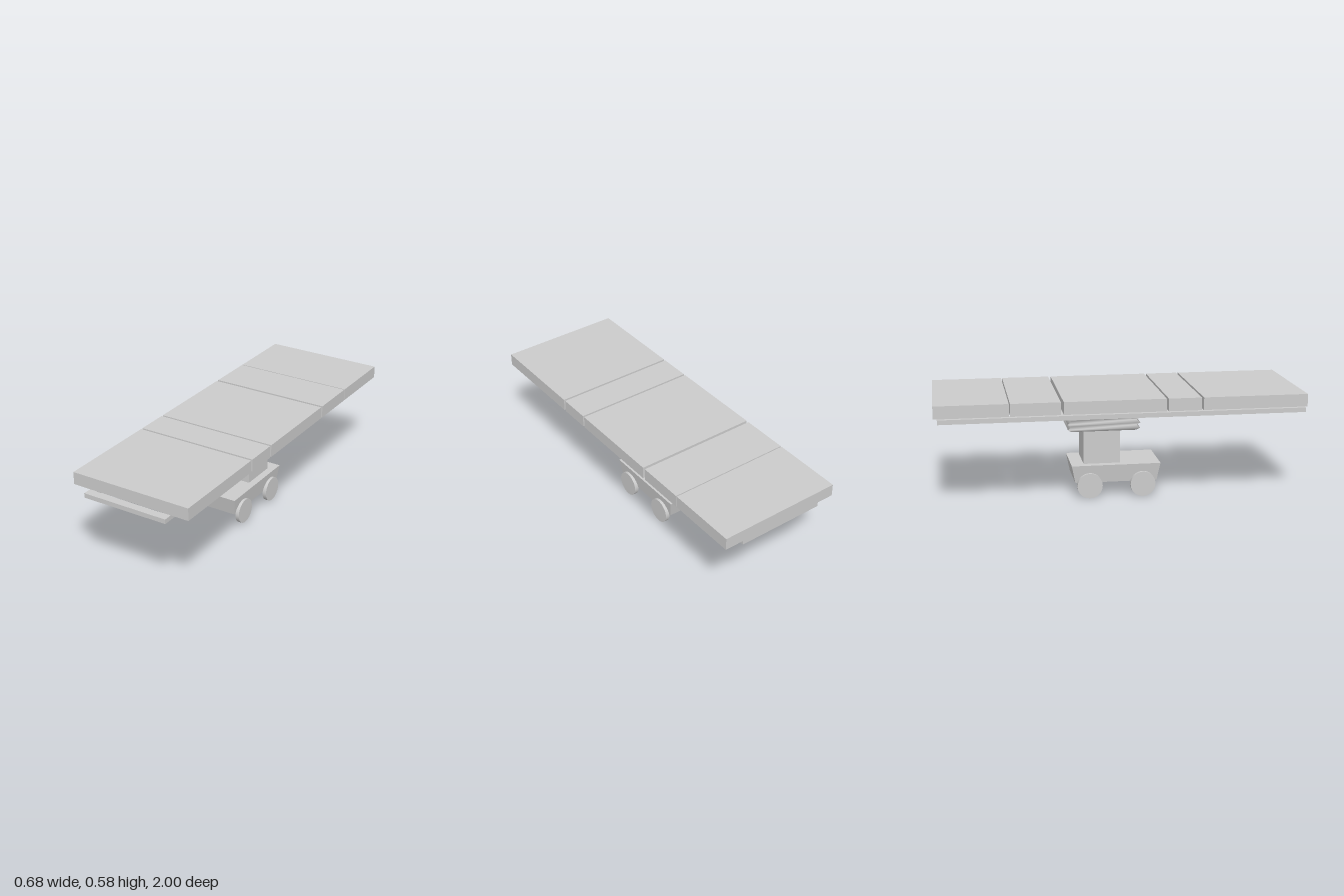
import * as THREE from 'three';

const material = new THREE.MeshStandardMaterial({ color: 0xcccccc });

export function createModel() {
  const model = new THREE.Group();
  model.name = 'operatingTable';

  const add = (name, geometry, x = 0, y = 0, z = 0) => {
    const mesh = new THREE.Mesh(geometry, material);
    mesh.name = name;
    mesh.position.set(x, y, z);
    model.add(mesh);
    return mesh;
  };

  // Box given by its limits on each axis
  const block = (name, [x0, x1], [y0, y1], [z0, z1]) =>
    add(name, new THREE.BoxGeometry(x1 - x0, y1 - y0, z1 - z0),
      (x0 + x1) / 2, (y0 + y1) / 2, (z0 + z1) / 2);

  // Mattress sections
  const sections = {
    legCushion: [0.417, 0.985],
    kneeCushion: [0.228, 0.405],
    seatCushion: [-0.327, 0.217],
    backCushion: [-0.605, -0.342],
    headCushion: [-1, -0.611],
  };
  for (const [name, z] of Object.entries(sections)) {
    block(name, [-0.342, 0.342], [0.512, 0.58], z);
  }

  // Flat support frame with a window near each end (shape y becomes -z)
  const rectangle = (path, x0, x1, z0, z1) => {
    path.moveTo(x0, -z1);
    path.lineTo(x1, -z1);
    path.lineTo(x1, -z0);
    path.lineTo(x0, -z0);
    path.closePath();
    return path;
  };
  const outline = rectangle(new THREE.Shape(), -0.269, 0.218, -0.98, 1);
  for (const [z0, z1] of [[0.63, 0.955], [-0.905, -0.57]]) {
    outline.holes.push(rectangle(new THREE.Path(), -0.225, 0.17, z0, z1));
  }
  const frame = new THREE.ExtrudeGeometry(outline, { depth: 0.025, bevelEnabled: false });
  frame.rotateX(-Math.PI / 2);
  add('supportFrame', frame, 0, 0.464, 0);

  // Square bellows: each row of a box is set to a [half width, height] pair
  const folds = [
    [0.170, 0.382], [0.188, 0.397], [0.171, 0.411], [0.189, 0.426],
    [0.171, 0.441], [0.191, 0.456], [0.182, 0.464],
  ];
  const rows = folds.length - 1;
  const bellows = new THREE.BoxGeometry(2, rows, 2, 1, rows, 1);
  const points = bellows.attributes.position;
  for (let i = 0; i < points.count; i++) {
    const [half, y] = folds[Math.round(points.getY(i) + rows / 2)];
    points.setXYZ(i, points.getX(i) * half, y, points.getZ(i) * (half + 0.007));
  }
  bellows.computeVertexNormals();
  add('bellows', bellows, -0.026, 0, -0.097);

  // Lifting column
  block('column', [-0.125, 0.079], [0.183, 0.383], [-0.198, 0.003]);

  // Tapered base
  const base = new THREE.BoxGeometry(0.287, 0.098, 0.488);
  const corners = base.attributes.position;
  for (let i = 0; i < corners.count; i++) {
    if (corners.getY(i) < 0) {
      corners.setX(i, corners.getX(i) * 0.915);
      corners.setZ(i, corners.getZ(i) * 0.92);
    }
  }
  base.computeVertexNormals();
  add('base', base, -0.0245, 0.134, -0.024);

  // Wheels, one pair on each side of the base
  const wheel = new THREE.CylinderGeometry(0.069, 0.069, 0.023, 40);
  wheel.rotateZ(Math.PI / 2);
  for (const [end, z] of [['front', 0.122], ['rear', -0.17]]) {
    add(end + 'LeftWheel', wheel, 0.1175, 0.077, z);
    add(end + 'RightWheel', wheel, -0.167, 0.071, z);
  }

  return model;
}
